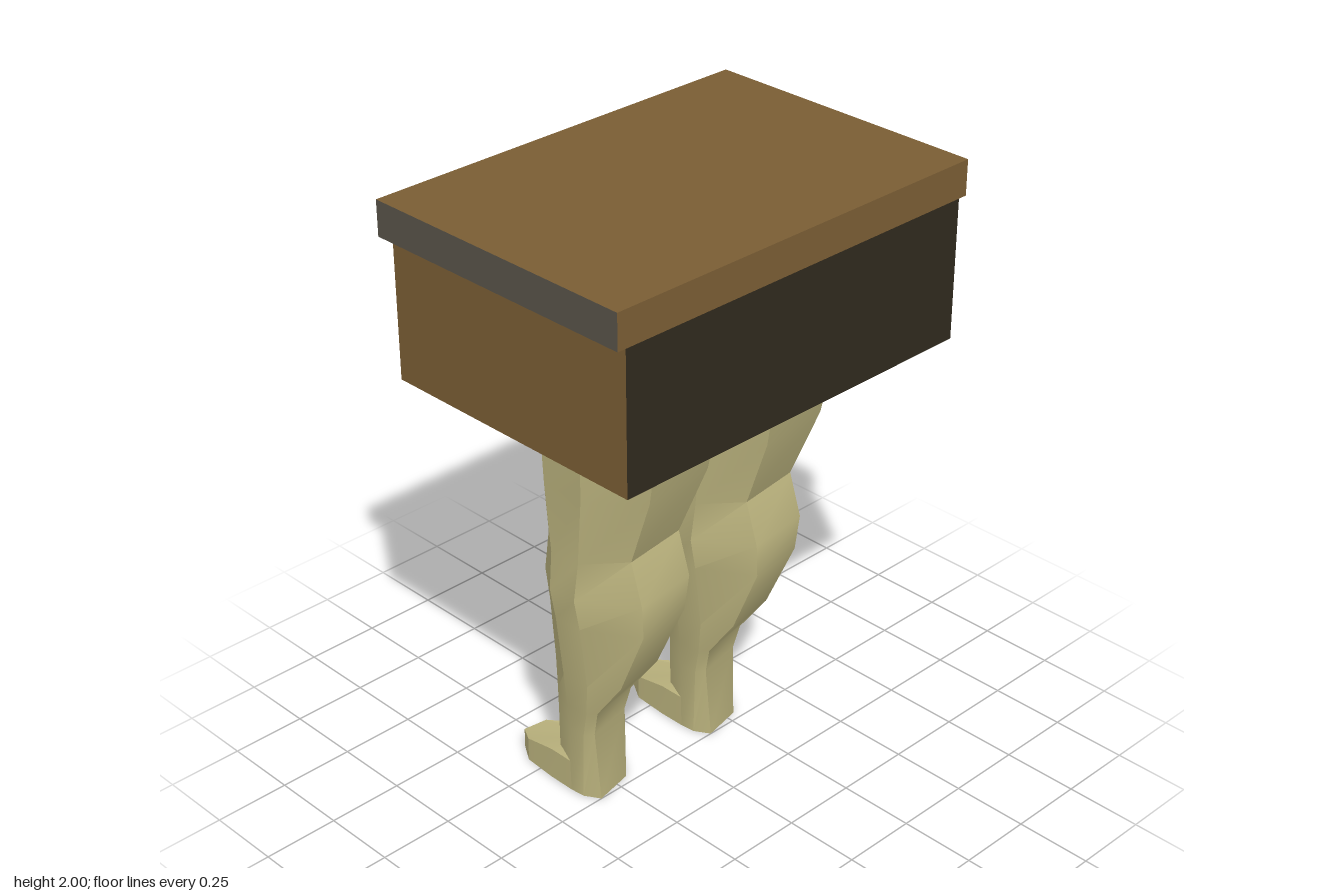
import * as THREE from 'three';
import { toCreasedNormals } from 'three/addons/utils/BufferGeometryUtils.js';

const paint = (color) => new THREE.MeshStandardMaterial({ color });

// Closed skin through rings of [x, y, z] points (bottom to top), capped with fans
function loft(rings, crease) {
  const n = rings[0].length;
  const index = [];
  for (let r = 0; r < rings.length - 1; r++) {
    for (let i = 0; i < n; i++) {
      const a = r * n + i, b = r * n + (i + 1) % n;
      index.push(a, b, b + n, a, b + n, a + n);
    }
  }
  const top = (rings.length - 1) * n;
  for (let i = 1; i < n - 1; i++) {
    index.push(0, i + 1, i, top, top + i, top + i + 1);
  }
  const geometry = new THREE.BufferGeometry();
  geometry.setAttribute('position', new THREE.Float32BufferAttribute(rings.flat(2), 3));
  geometry.setIndex(index);
  return toCreasedNormals(geometry, crease);
}

// Box between two corners
function box(name, min, max, materials) {
  const size = max.map((v, i) => v - min[i]);
  const mesh = new THREE.Mesh(new THREE.BoxGeometry(...size), materials);
  mesh.position.set(...max.map((v, i) => (v + min[i]) / 2));
  mesh.name = name;
  return mesh;
}

// Leg levels: y, shin x, outer edge x, calf x, then z of inner side,
// inner calf edge, outer calf edge and outer side
const legLevels = [
  [0, -0.19, -0.05, 0, 0.175, 0.2, 0.335, 0.37],
  [0.24, -0.19, -0.04, -0.02, 0.175, 0.187, 0.34, 0.373],
  [0.33, -0.19, -0.02, 0, 0.165, 0.175, 0.345, 0.378],
  [0.45, -0.192, 0, 0.08, 0.13, 0.14, 0.32, 0.39],
  [0.67, -0.197, 0, 0.165, 0.095, 0.105, 0.305, 0.415],
  [0.78, -0.2, 0, 0.165, 0.075, 0.085, 0.31, 0.435],
  [0.91, -0.192, 0.01, 0.11, 0.06, 0.075, 0.3, 0.425],
  [1.15, -0.198, 0.05, 0.2, 0.03, 0.045, 0.31, 0.445],
  [1.44, -0.203, 0.07, 0.25, 0, 0.02, 0.315, 0.46],
];

function legRing([y, shin, edge, calf, zIn, zCalfIn, zCalfOut, zOut]) {
  const bevel = (zOut - zIn) * 0.2;
  return [
    [shin, y, zIn + bevel],
    [shin, y, zOut - bevel],
    [-0.1, y, zOut],
    [edge, y, zOut - 0.005],
    [calf, y, zCalfOut],
    [calf - 0.03, y, zCalfIn],
    [-0.06, y, zIn],
  ];
}

// Foot outline seen from above, toes toward -x
const footOutline = [
  [-0.1, 0.177], [-0.19, 0.18], [-0.355, 0.245], [-0.37, 0.325],
  [-0.31, 0.362], [-0.19, 0.37], [-0.1, 0.37],
];
const footHeight = (x) => 0.07 + 0.04 * Math.min(1, (x + 0.37) / 0.18);

export function createModel() {
  const model = new THREE.Group();
  const brown = paint(0x7a5d34);
  const dark = paint(0x30291d);
  const grey = paint(0x585348);
  const skin = paint(0xbab27d);

  // Cabinet and overhanging lid; face order +x, -x, +y, -y, +z, -z
  model.add(
    box('cabinet', [-0.46, 1.435, -0.657], [0.48, 1.887, 0.66],
      [dark, brown, brown, brown, brown, dark]),
    box('lid', [-0.485, 1.887, -0.685], [0.482, 2, 0.69],
      [brown, grey, brown, grey, grey, grey]),
  );

  // Two identical legs side by side
  const legGeometry = loft(legLevels.map(legRing), 0.55);
  const footGeometry = loft([
    footOutline.map(([x, z]) => [x, 0, z]),
    footOutline.map(([x, z]) => [x, footHeight(x), z]),
  ], 0.3);
  for (const [name, z] of [['frontLeg', 0], ['backLeg', -0.485]]) {
    const leg = new THREE.Group();
    leg.name = name;
    const shank = new THREE.Mesh(legGeometry, skin);
    shank.name = 'thighAndCalf';
    const foot = new THREE.Mesh(footGeometry, skin);
    foot.name = 'foot';
    leg.add(shank, foot);
    leg.position.z = z;
    model.add(leg);
  }
  return model;
}
